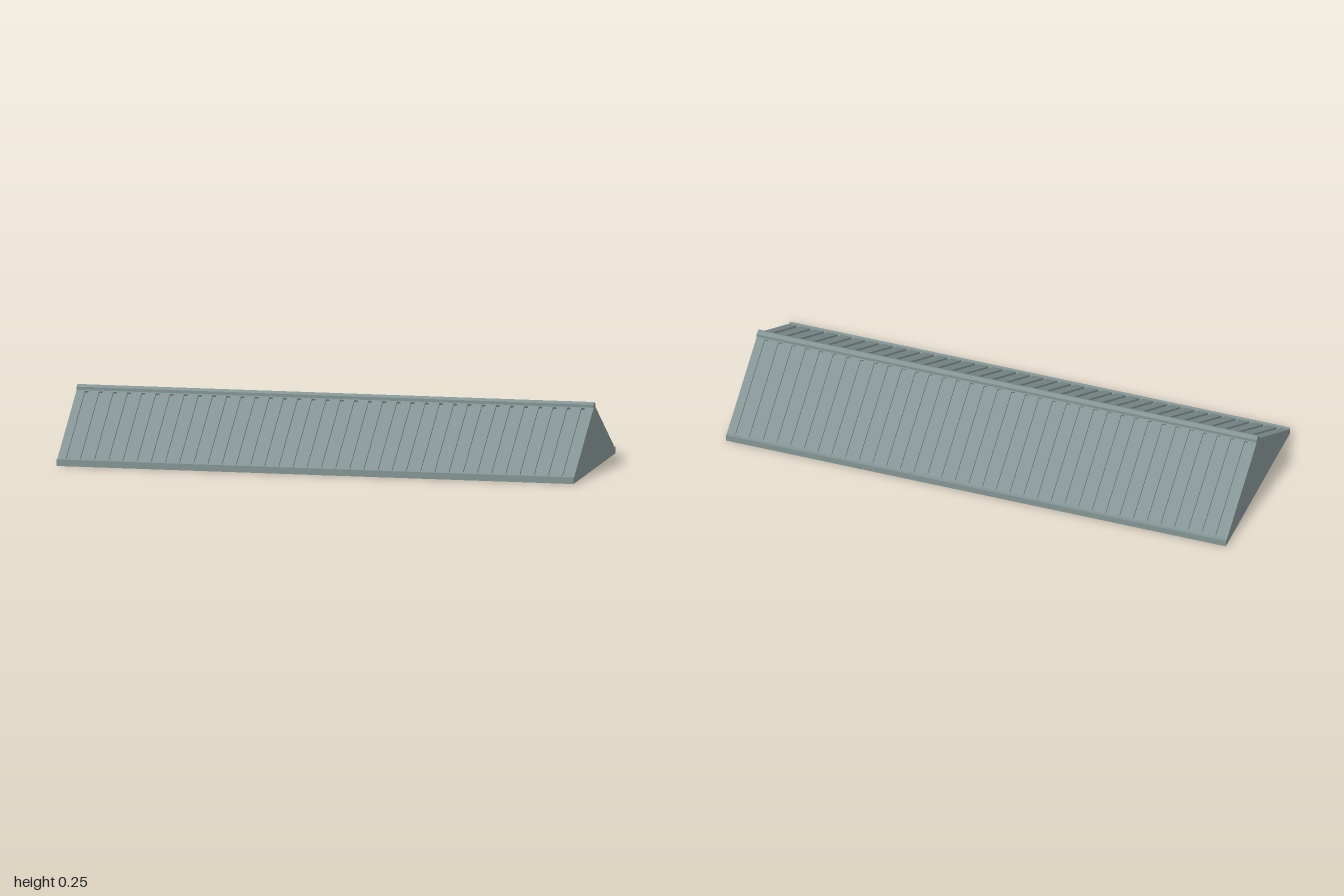
import * as THREE from 'three';

export function createModel() {
  const model = new THREE.Group();
  model.name = 'gableRoof';
  const material = new THREE.MeshStandardMaterial({ color: 0x849494, flatShading: true });

  const eave = { z: 0.358, y: 0.025 }, ridge = { z: 0.015, y: 0.235 };
  const run = eave.z - ridge.z, rise = ridge.y - eave.y;
  const length = Math.hypot(run, rise);
  const depth = 0.008; // groove depth, also the thickness of the slotted sheets
  const inZ = depth * rise / length, inY = depth * run / length;

  // Solid core: eave ledges, ridge cap and slopes set back by the sheet thickness
  const half = [
    [0.372, 0], [0.372, eave.y], [eave.z, eave.y],
    [eave.z - inZ, eave.y - inY], [ridge.z - inZ, ridge.y - inY],
    [ridge.z, ridge.y], [ridge.z, 0.247],
  ];
  const mirrored = half.map(([z, y]) => [-z, y]).reverse();
  const profile = [...half, [0, 0.255], ...mirrored].map(([z, y]) => new THREE.Vector2(z, y));
  const coreGeometry = new THREE.ExtrudeGeometry(new THREE.Shape(profile), { depth: 2, bevelEnabled: false });
  coreGeometry.translate(0, 0, -1).rotateY(-Math.PI / 2);
  const core = new THREE.Mesh(coreGeometry, material);
  core.name = 'roofCore';
  model.add(core);

  // Roof sheet: a rectangle with a row of slots that become the grooves
  const rectangle = (Type, x0, y0, x1, y1) => new Type([
    new THREE.Vector2(x0, y0), new THREE.Vector2(x1, y0),
    new THREE.Vector2(x1, y1), new THREE.Vector2(x0, y1),
  ]);
  const sheet = rectangle(THREE.Shape, -1, 0, 1, length);
  const count = 36, first = -0.96, groove = 0.015;
  for (let i = 0; i < count; i++) {
    const x = first - 2 * first * i / (count - 1);
    sheet.holes.push(rectangle(THREE.Path, x - groove / 2, 0.004, x + groove / 2, length - 0.004));
  }
  const sheetGeometry = new THREE.ExtrudeGeometry(sheet, { depth, bevelEnabled: false });
  sheetGeometry.translate(0, 0, -depth);
  sheetGeometry.rotateX(-Math.atan2(run, rise));
  sheetGeometry.translate(0, eave.y, eave.z);

  // One sheet on each slope
  for (const [name, turn] of [['frontRoofSheet', 0], ['backRoofSheet', Math.PI]]) {
    const mesh = new THREE.Mesh(sheetGeometry, material);
    mesh.name = name;
    mesh.rotation.y = turn;
    model.add(mesh);
  }
  return model;
}
